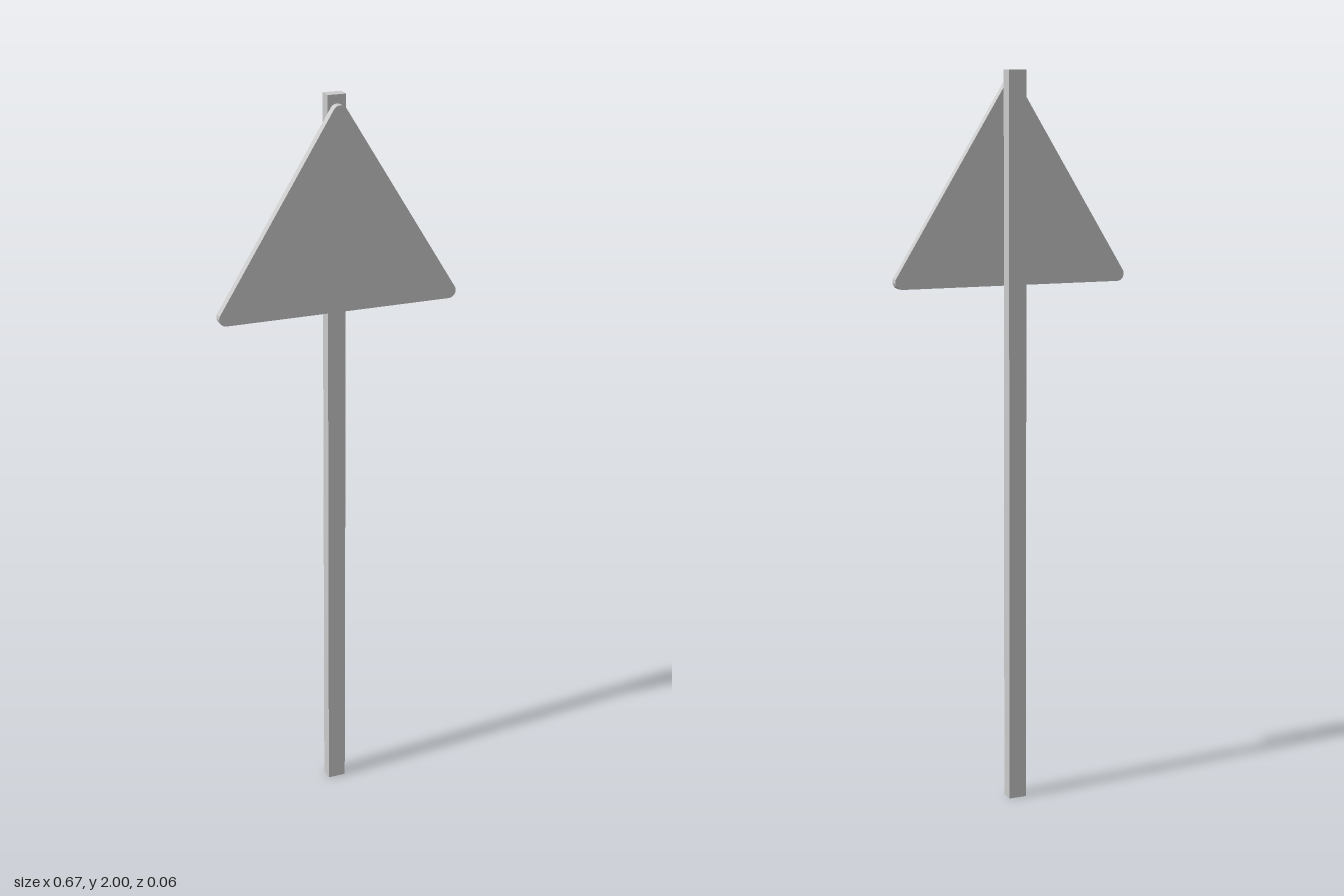
import * as THREE from 'three';
import { toCreasedNormals } from 'three/addons/utils/BufferGeometryUtils.js';

export function createModel() {
  const group = new THREE.Group();
  const material = new THREE.MeshStandardMaterial({ color: 0xcccccc });

  // Square-cut post, standing on the ground
  const post = new THREE.Mesh(new THREE.BoxGeometry(0.05, 2, 0.036), material);
  post.name = 'post';
  post.position.set(0, 1, -0.013);
  group.add(post);

  // Triangular plate with rounded corners, fixed to the front of the post
  const radius = 0.02, halfWidth = 0.333 - radius;
  const bottom = 1.433 + radius, top = 1.977 - radius;
  const normal = Math.atan2(halfWidth, top - bottom); // direction of the right edge's normal
  const outline = new THREE.Shape();
  outline.absarc(halfWidth, bottom, radius, -Math.PI / 2, normal, false);
  outline.absarc(0, top, radius, normal, Math.PI - normal, false);
  outline.absarc(-halfWidth, bottom, radius, Math.PI - normal, Math.PI * 1.5, false);
  outline.closePath();

  const plateGeometry = new THREE.ExtrudeGeometry(outline, {
    depth: 0.023, bevelEnabled: false, curveSegments: 8,
  });
  const plate = new THREE.Mesh(toCreasedNormals(plateGeometry, 0.7), material);
  plate.name = 'signPlate';
  plate.position.z = 0.005;
  group.add(plate);

  return group;
}
